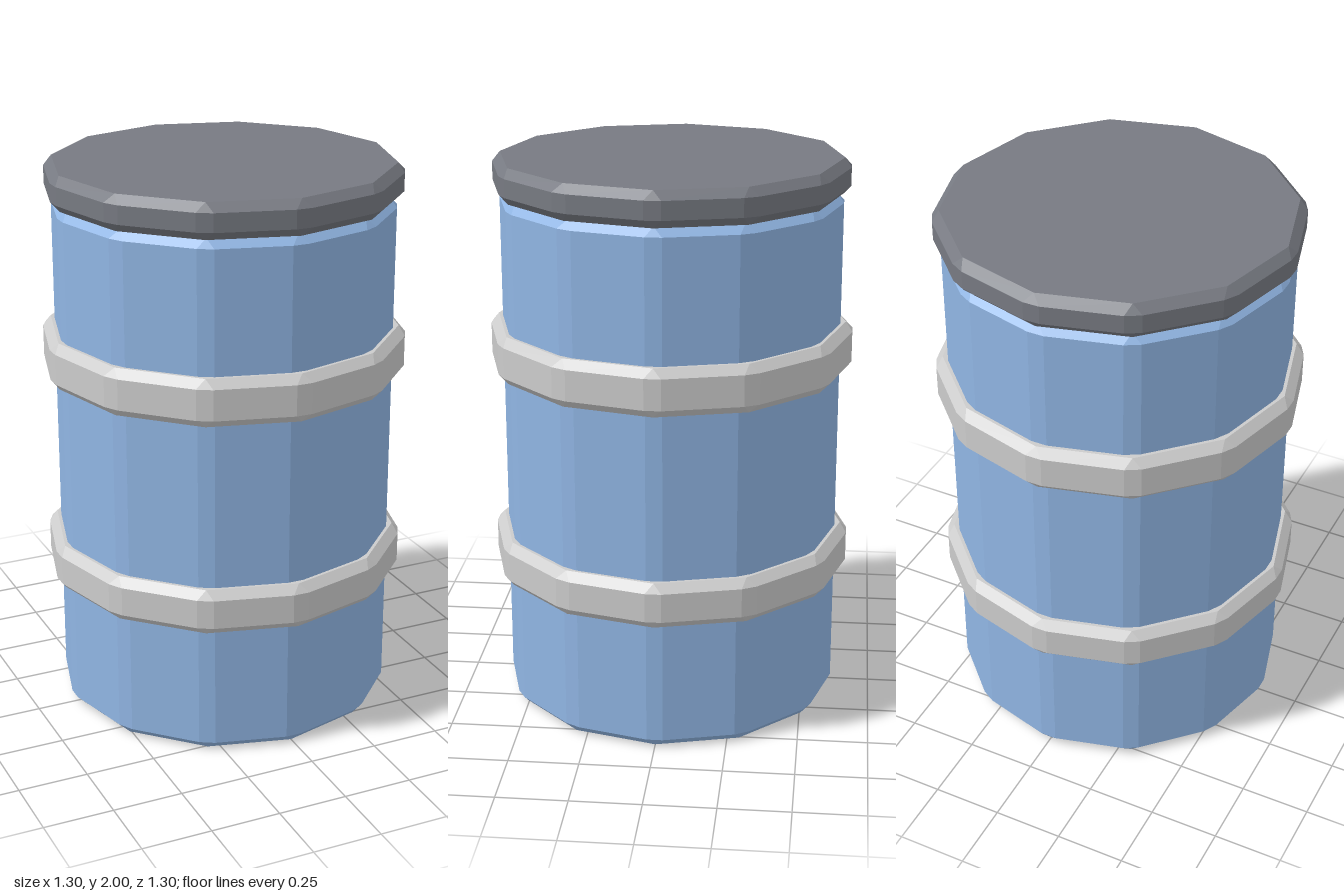
import * as THREE from 'three';

const SIDES = 12;
const BEVEL = 0.03;

// Twelve-sided drum whose every edge is chamfered by BEVEL.
function chamferedDrum(radius, y0, y1) {
  const corner = (k, r, y) => {
    const a = (k / SIDES) * Math.PI * 2;
    return new THREE.Vector3(r * Math.sin(a), y, r * Math.cos(a));
  };
  const slide = BEVEL / (2 * radius * Math.sin(Math.PI / SIDES));
  const capRadius = radius - BEVEL / Math.cos(Math.PI / SIDES);

  // Wall loops have two points per corner; cap loops repeat one point twice.
  const wallLoop = (y) => {
    const loop = [];
    for (let k = 0; k < SIDES; k++) {
      const c = corner(k, radius, y);
      loop.push(c.clone().lerp(corner(k - 1, radius, y), slide));
      loop.push(c.clone().lerp(corner(k + 1, radius, y), slide));
    }
    return loop;
  };
  const capLoop = (y) => {
    const loop = [];
    for (let k = 0; k < SIDES; k++) loop.push(corner(k, capRadius, y), corner(k, capRadius, y));
    return loop;
  };
  const loops = [capLoop(y0), wallLoop(y0 + BEVEL), wallLoop(y1 - BEVEL), capLoop(y1)];

  const positions = [];
  const triangle = (a, b, c) => {
    if (a.equals(b) || b.equals(c) || a.equals(c)) return;
    for (const p of [a, b, c]) positions.push(p.x, p.y, p.z);
  };
  const n = SIDES * 2;
  for (let j = 0; j < loops.length - 1; j++) {
    for (let i = 0; i < n; i++) {
      const next = (i + 1) % n;
      triangle(loops[j][i], loops[j][next], loops[j + 1][next]);
      triangle(loops[j][i], loops[j + 1][next], loops[j + 1][i]);
    }
  }
  // End caps
  const bottom = new THREE.Vector3(0, y0, 0);
  const top = new THREE.Vector3(0, y1, 0);
  for (let i = 0; i < n; i++) {
    const next = (i + 1) % n;
    triangle(bottom, loops[0][next], loops[0][i]);
    triangle(top, loops[3][i], loops[3][next]);
  }

  const geometry = new THREE.BufferGeometry();
  geometry.setAttribute('position', new THREE.Float32BufferAttribute(positions, 3));
  geometry.computeVertexNormals();
  return geometry;
}

export function createModel() {
  const group = new THREE.Group();
  group.name = 'barrel';
  const material = (color) => new THREE.MeshStandardMaterial({ color, flatShading: true });
  const blue = material(0x90b5e3);
  const grey = material(0xcccccc);
  const dark = material(0x777a82);

  const add = (name, radius, y0, y1, mat) => {
    const mesh = new THREE.Mesh(chamferedDrum(radius, y0, y1), mat);
    mesh.name = name;
    group.add(mesh);
  };

  // Drum body, two hoops and the lid
  add('body', 0.615, 0, 1.875, blue);
  add('lowerHoop', 0.658, 0.475, 0.64, grey);
  add('upperHoop', 0.658, 1.24, 1.41, grey);
  add('lid', 0.638, 1.875, 2, dark);
  return group;
}
